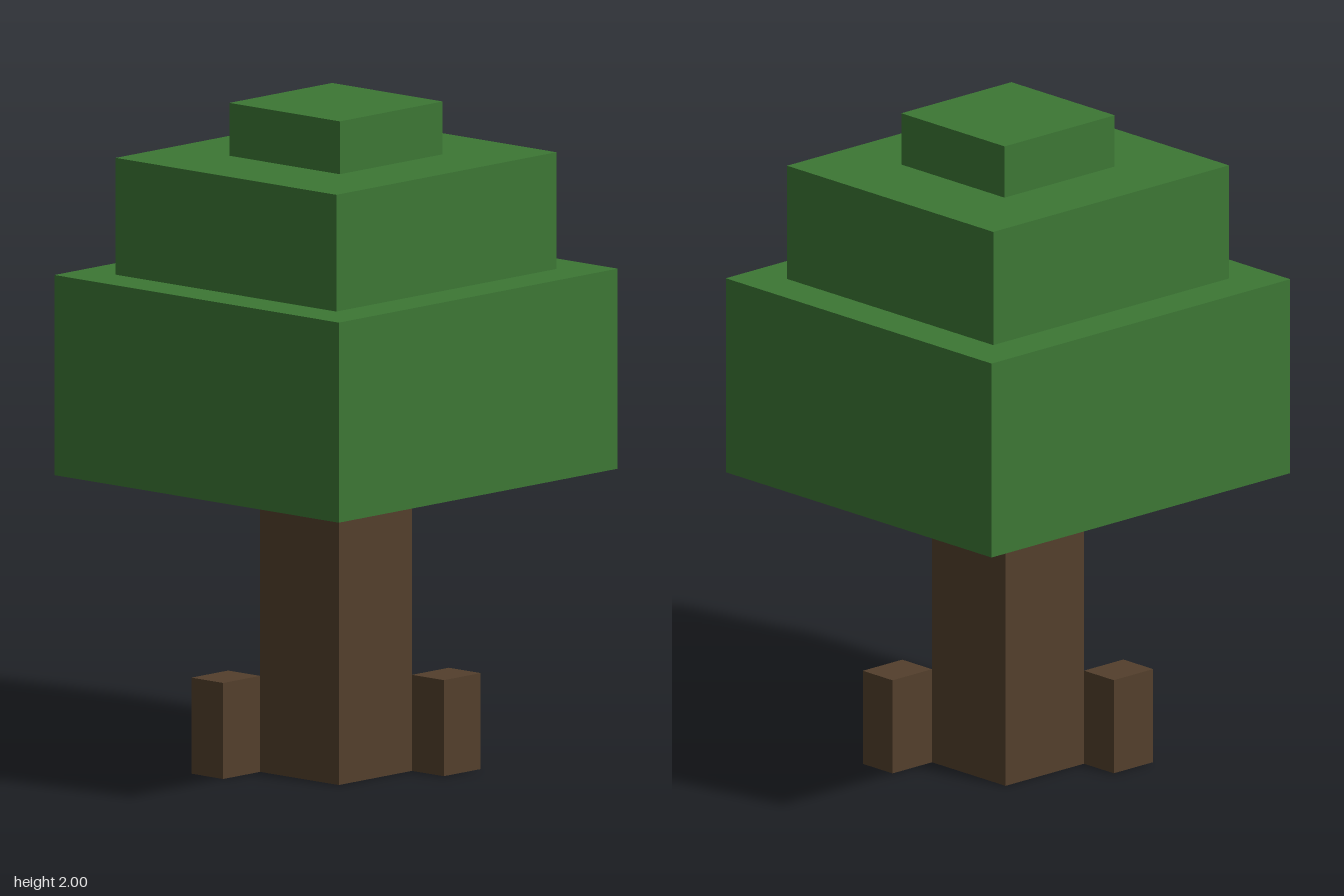
import * as THREE from 'three';

export function createModel() {
  const tree = new THREE.Group();
  tree.name = 'blockTree';

  const leaf = new THREE.MeshStandardMaterial({ color: 0x3c7734 });
  leaf.name = 'leafGreen';
  const bark = new THREE.MeshStandardMaterial({ color: 0x533f2c });
  bark.name = 'barkBrown';

  // Adds a box given its x, y and z ranges
  function addBlock(name, material, [x0, x1], [y0, y1], [z0, z1]) {
    const mesh = new THREE.Mesh(new THREE.BoxGeometry(x1 - x0, y1 - y0, z1 - z0), material);
    mesh.position.set((x0 + x1) / 2, (y0 + y1) / 2, (z0 + z1) / 2);
    mesh.name = name;
    tree.add(mesh);
  }

  // Square trunk
  const t = 0.158;
  addBlock('trunk', bark, [-t, t], [0, 0.895], [-t, t]);

  // Two roots on diagonally opposite trunk corners
  addBlock('frontRoot', bark, [t, 0.317], [0, 0.287], [t, 0.286]);
  addBlock('backRoot', bark, [-0.317, -t], [0, 0.287], [-0.286, -t]);

  // Stepped canopy: name, half width, half depth, bottom, top
  const tiers = [
    ['lowerCanopy', 0.602, 0.571, 0.895, 1.493],
    ['middleCanopy', 0.475, 0.443, 1.493, 1.842],
    ['topCanopy', 0.222, 0.222, 1.842, 2],
  ];
  for (const [name, w, d, y0, y1] of tiers) {
    addBlock(name, leaf, [-w, w], [y0, y1], [-d, d]);
  }

  return tree;
}
